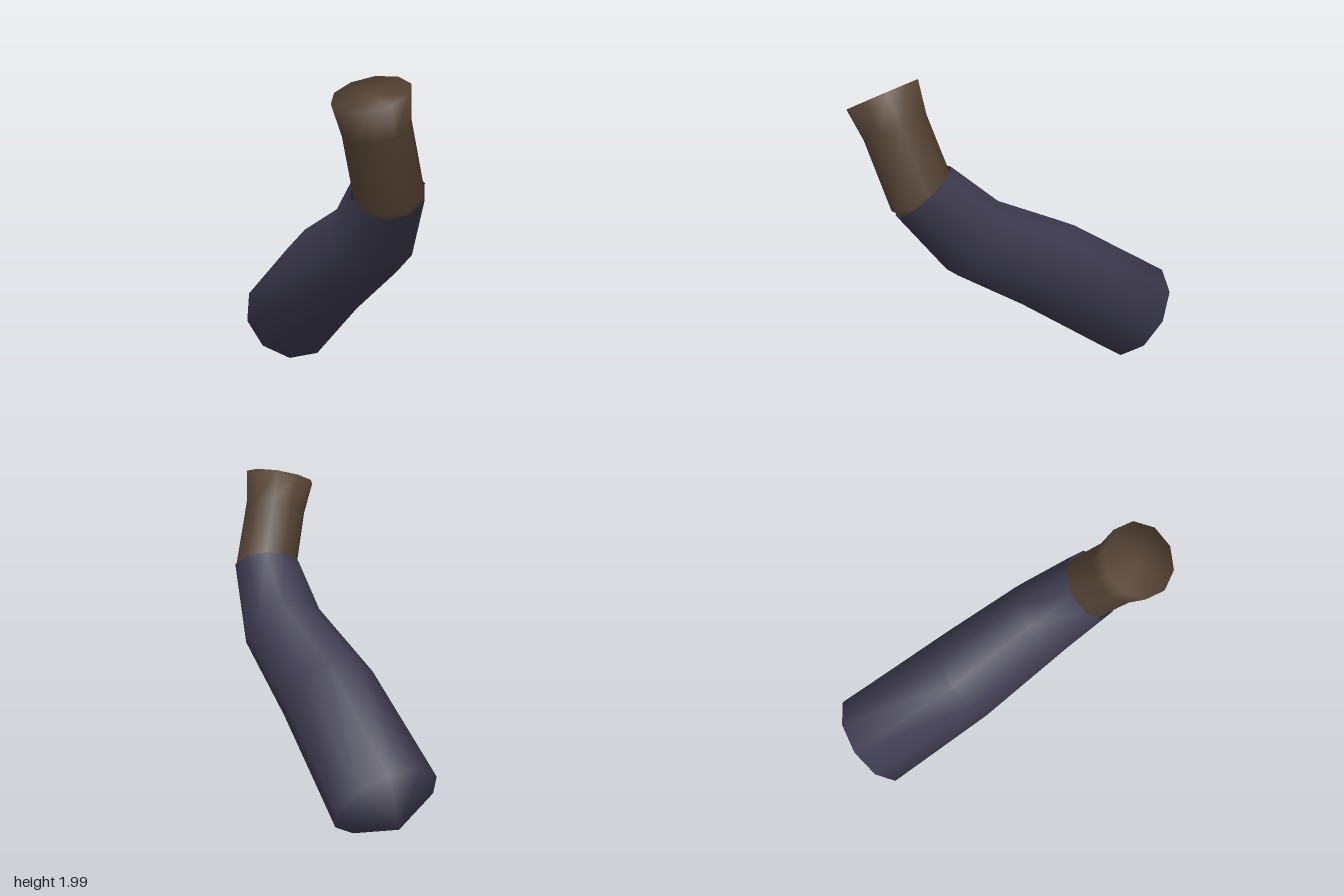
import * as THREE from 'three';

const SIDES = 10;

// Smooth tube through tilted rings [centre, normal, radius], with optional end points
function loft(rings, startTip, endTip) {
  const pos = [], index = [];
  for (const [centre, normal, r] of rings) {
    const c = new THREE.Vector3(...centre);
    const n = new THREE.Vector3(...normal).normalize();
    const u = new THREE.Vector3(1, 0, 0).addScaledVector(n, -n.x).normalize();
    const v = n.clone().cross(u);
    for (let i = 0; i < SIDES; i++) {
      const a = (i / SIDES) * Math.PI * 2;
      const p = c.clone().addScaledVector(u, r * Math.cos(a)).addScaledVector(v, r * Math.sin(a));
      pos.push(p.x, p.y, p.z);
    }
  }
  for (let k = 0; k < rings.length - 1; k++) {
    for (let i = 0; i < SIDES; i++) {
      const j = (i + 1) % SIDES, a = k * SIDES, b = a + SIDES;
      index.push(a + i, a + j, b + j, a + i, b + j, b + i);
    }
  }
  const cap = (tip, base, flip) => {
    const t = pos.length / 3;
    pos.push(...tip);
    for (let i = 0; i < SIDES; i++) {
      const j = (i + 1) % SIDES;
      index.push(t, base + (flip ? j : i), base + (flip ? i : j));
    }
  };
  if (startTip) cap(startTip, 0, true);
  if (endTip) cap(endTip, (rings.length - 1) * SIDES, false);
  const g = new THREE.BufferGeometry();
  g.setAttribute('position', new THREE.Float32BufferAttribute(pos, 3));
  g.setIndex(index);
  g.computeVertexNormals();
  return g;
}

export function createModel() {
  const model = new THREE.Group();
  model.name = 'bentArm';
  const cloth = new THREE.MeshStandardMaterial({ color: 0x3d3b4f, side: THREE.DoubleSide });
  cloth.name = 'dark blue cloth';
  const skin = new THREE.MeshStandardMaterial({ color: 0x564435, side: THREE.DoubleSide });
  skin.name = 'brown skin';

  // Sleeve: pointed closed shoulder end, tapering to an open cuff
  const sleeve = new THREE.Mesh(loft([
    [[-0.59, 0.285, -0.58], [0.62, 0.55, 0.56], 0.335],
    [[-0.05, 0.735, -0.14], [0.62, 0.54, 0.57], 0.31],
    [[0.40, 1.03, 0.18], [0.57, 0.6, 0.56], 0.265],
    [[0.61, 1.35, 0.41], [0.3, 0.75, 0.58], 0.22],
  ], [-0.71, 0.18, -0.69], null), cloth);
  sleeve.name = 'sleeve';

  // Forearm: starts inside the cuff and flares to a closed wrist
  const forearm = new THREE.Mesh(loft([
    [[0.57, 1.25, 0.35], [0.2, 0.85, 0.48], 0.17],
    [[0.62, 1.33, 0.415], [0.1, 0.87, 0.47], 0.205],
    [[0.615, 1.72, 0.575], [0, 0.91, 0.4], 0.2],
    [[0.615, 1.91, 0.65], [0, 0.91, 0.41], 0.228],
  ], null, [0.615, 1.9, 0.645]), skin);
  forearm.name = 'forearm';

  model.add(sleeve, forearm);
  return model;
}
